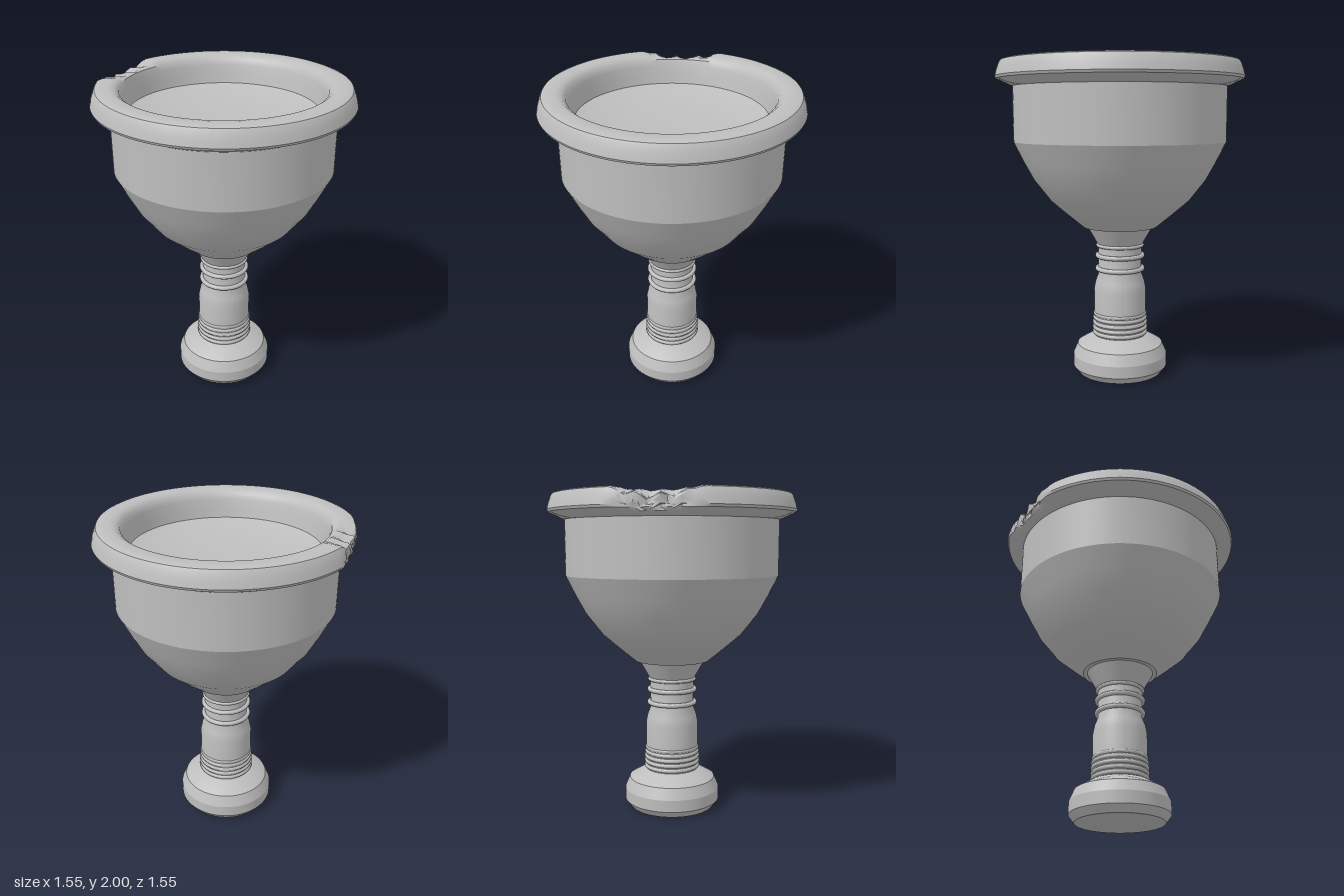
import * as THREE from 'three';
import { toCreasedNormals } from 'three/addons/utils/BufferGeometryUtils.js';

const SEGMENTS = 128;

// Chip in the rim: centre direction and half-width, in radians around y
const CHIP_ANGLE = -1.92, CHIP_HALF = 0.35, CHIP_DISTANCE = 0.725;

function lathe(profile) {
  return new THREE.LatheGeometry(profile.map(([r, y]) => new THREE.Vector2(r, y)), SEGMENTS);
}

// Cut a rough flat facet out of the rim and sink its top edge
function chipRim(geometry) {
  const p = geometry.attributes.position;
  const nx = Math.cos(CHIP_ANGLE), nz = Math.sin(CHIP_ANGLE);
  for (let i = 0; i < p.count; i++) {
    let x = p.getX(i), y = p.getY(i), z = p.getZ(i);
    const offset = Math.atan2(z, x) - CHIP_ANGLE;
    if (Math.abs(offset) > CHIP_HALF) continue;
    const w = Math.cos(offset / CHIP_HALF * Math.PI / 2);
    const rough = Math.sin(offset * 41 + y * 30) * 0.012 * w;
    const r = Math.hypot(x, z);
    const over = x * nx + z * nz - CHIP_DISTANCE - rough;
    if (over > 0) { x -= nx * over; z -= nz * over; }
    if (y > 1.93 && r > 0.61) {
      const outer = Math.min(1, (r - 0.6) / 0.1);
      y -= w * outer * (0.055 + 0.02 * Math.sin(offset * 33));
    }
    p.setXYZ(i, x, y, z);
  }
  return geometry;
}

export function createModel() {
  const model = new THREE.Group();
  const stone = new THREE.MeshStandardMaterial({ color: 0xbebebe });
  stone.name = 'greyStone';

  function add(name, geometry, crease = 0.38) {
    const mesh = new THREE.Mesh(toCreasedNormals(geometry, crease), stone);
    mesh.name = name;
    model.add(mesh);
  }

  // Foot with chamfered bottom and sloping shoulder
  add('foot', lathe([[0, 0], [0.27, 0], [0.305, 0.045], [0.305, 0.12], [0.275, 0.19], [0.18, 0.245], [0.16, 0.25]]));

  // Stem: shaft, narrow neck and flare under the bowl
  add('stem', lathe([[0.168, 0.24], [0.168, 0.55], [0.158, 0.6], [0.138, 0.655], [0.138, 0.835],
    [0.15, 0.855], [0.21, 0.96]]), 0.5);

  // Raised rings on the stem
  const rings = [
    [0.265, 0.165, 0.014], [0.297, 0.165, 0.014], [0.33, 0.165, 0.014], [0.362, 0.163, 0.014], [0.39, 0.161, 0.013],
    [0.685, 0.145, 0.015], [0.77, 0.145, 0.015], [0.838, 0.143, 0.012],
  ];
  for (const [y, radius, tube] of rings) {
    const ring = new THREE.TorusGeometry(radius, tube, 10, 72);
    ring.rotateX(Math.PI / 2).translate(0, y, 0);
    add('stemRing', ring, 1.2);
  }

  // Bowl: curved underside and straight wall
  add('bowl', lathe([[0, 0.955], [0.235, 0.958], [0.335, 1.04], [0.44, 1.13], [0.545, 1.265], [0.605, 1.375],
    [0.667, 1.5], [0.667, 1.86]]));

  // Overhanging rim with the broken spot at the back
  add('rim', chipRim(lathe([[0.655, 1.84], [0.672, 1.842], [0.72, 1.865], [0.766, 1.885], [0.773, 1.9],
    [0.763, 1.94], [0.748, 1.98], [0.74, 1.993], [0.72, 2], [0.69, 2], [0.66, 2], [0.63, 1.995],
    [0.605, 1.975], [0.592, 1.94], [0.58, 1.88], [0.566, 1.82]])), 0.6);

  // Shallow dished floor inside the rim
  add('bowlFloor', lathe([[0.58, 1.832], [0.565, 1.828], [0.485, 1.805], [0.25, 1.785], [0, 1.78]]), 0.2);

  return model;
}
